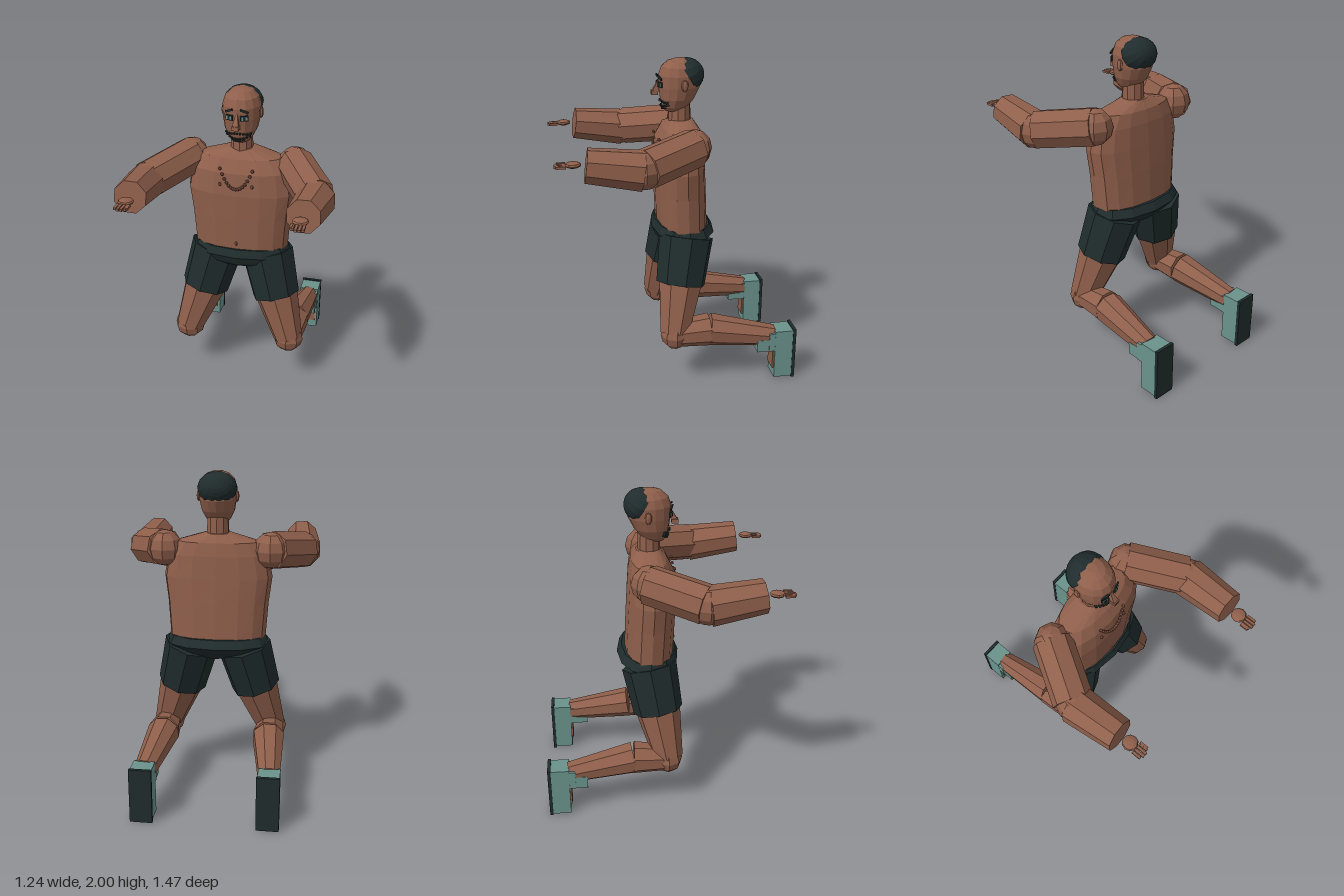
import * as THREE from 'three';

const mat = (name, color) => {
  const m = new THREE.MeshStandardMaterial({ color, flatShading: true, side: THREE.DoubleSide });
  m.name = name;
  return m;
};

export function createModel() {
  const skin = mat('skin', 0x8f5f4b);
  const dark = mat('dark cloth and hair', 0x202c2d);
  const teal = mat('teal', 0x6b938c);
  const root = new THREE.Group();
  root.name = 'kneelingFigure';

  const add = (name, geo, material, parent = root, pos = [0, 0, 0]) => {
    const mesh = new THREE.Mesh(geo, material);
    mesh.name = name;
    mesh.position.set(...pos);
    parent.add(mesh);
    return mesh;
  };
  const box = (name, size, pos, material, parent = root) =>
    add(name, new THREE.BoxGeometry(...size), material, parent, pos);
  const ball = (name, radii, pos, material, parent = root, w = 8, h = 6) =>
    add(name, new THREE.SphereGeometry(1, w, h).scale(...radii), material, parent, pos);

  // Stacked horizontal rings: [y, half width, front z, back z], bottom to top
  const loft = (rows, sides, power = 1) => {
    const pos = [], idx = [];
    const curve = (v) => Math.sign(v) * Math.abs(v) ** power;
    rows.forEach(([y, hx, zf, zb]) => {
      for (let i = 0; i < sides; i++) {
        const a = (i / sides) * Math.PI * 2;
        pos.push(hx * curve(Math.sin(a)), y, (zf + zb) / 2 + ((zf - zb) / 2) * curve(Math.cos(a)));
      }
    });
    const last = rows.length - 1, low = rows.length * sides;
    for (const r of [rows[0], rows[last]]) pos.push(0, r[0], (r[2] + r[3]) / 2);
    for (let i = 0; i < sides; i++) {
      const n = (i + 1) % sides;
      for (let j = 0; j < last; j++) {
        const a = j * sides + i, b = j * sides + n;
        idx.push(a, b, b + sides, a, b + sides, a + sides);
      }
      idx.push(low, n, i, low + 1, last * sides + i, last * sides + n);
    }
    const g = new THREE.BufferGeometry();
    g.setAttribute('position', new THREE.Float32BufferAttribute(pos, 3));
    g.setIndex(idx);
    g.computeVertexNormals();
    return g;
  };

  // Tapered eight-sided limb between two points
  const limb = (name, from, to, r0, r1, material, parent) => {
    const a = new THREE.Vector3(...from), b = new THREE.Vector3(...to);
    const d = b.clone().sub(a);
    const m = add(name, new THREE.CylinderGeometry(r1, r0, d.length(), 8).rotateY(Math.PI / 8), material, parent);
    m.position.copy(a).add(b).multiplyScalar(0.5);
    m.quaternion.setFromUnitVectors(new THREE.Vector3(0, 1, 0), d.normalize());
    return m;
  };

  // Torso, waist and neck
  add('torso', loft([
    [0.9, 0.28, 0.07, -0.2], [0.98, 0.3, 0.085, -0.22], [1.2, 0.315, 0.095, -0.21],
    [1.36, 0.335, 0.1, -0.2], [1.5, 0.31, 0.085, -0.19], [1.58, 0.25, 0.045, -0.175],
    [1.63, 0.08, 0, -0.14],
  ], 16, 0.85), skin);
  add('waistband', loft([
    [0.86, 0.2, 0.07, -0.2], [0.89, 0.27, 0.1, -0.225], [0.94, 0.325, 0.12, -0.27], [0.99, 0.3, 0.1, -0.24],
  ], 12, 0.9), dark);
  add('neck', new THREE.CylinderGeometry(0.065, 0.07, 0.16, 10), skin, root, [0, 1.67, -0.06]);

  // Head, hair and face
  add('head', loft([
    [1.685, 0.05, 0.03, -0.07], [1.71, 0.075, 0.048, -0.11], [1.76, 0.1, 0.06, -0.15],
    [1.83, 0.113, 0.07, -0.185], [1.9, 0.115, 0.072, -0.19], [1.95, 0.1, 0.055, -0.18],
    [1.985, 0.065, 0.015, -0.14], [1.998, 0.025, -0.03, -0.09],
  ], 14), skin);
  const hair = new THREE.SphereGeometry(1, 14, 7, 0, Math.PI * 2, 0, 1.62);
  hair.rotateX(-Math.PI / 3).scale(0.12, 0.101, 0.108);
  add('hair', hair, dark, root, [0, 1.899, -0.1]);
  const nose = new THREE.CylinderGeometry(0.008, 0.03, 0.085, 4).rotateY(Math.PI / 4).rotateX(-0.35);
  add('nose', nose, skin, root, [0, 1.83, 0.082]);
  box('noseTip', [0.04, 0.025, 0.04], [0, 1.798, 0.095], skin);
  for (const s of [1, -1]) {
    ball('ear', [0.014, 0.035, 0.022], [s * 0.115, 1.85, -0.07], skin);
    const eye = new THREE.Group();
    eye.name = 'eye';
    eye.position.set(s * 0.045, 1.85, 0.068);
    eye.rotation.y = s * 0.35;
    root.add(eye);
    box('eyeRim', [0.046, 0.032, 0.008], [0, 0, 0], dark, eye);
    box('iris', [0.034, 0.02, 0.008], [0, 0, 0.003], teal, eye);
    box('pupil', [0.014, 0.02, 0.008], [0, 0, 0.005], dark, eye);
    const brow = box('brow', [0.05, 0.012, 0.009], [0, 0.042, 0.003], dark, eye);
    brow.rotation.z = -s * 0.4;
  }
  // Beard stubble follows the jaw in curved rows
  [[1.75, 0.07, 0.062], [1.735, 0.075, 0.06], [1.715, 0.068, 0.054], [1.7, 0.045, 0.047]].forEach(([y, w, z], row) => {
    for (let i = 0; i < 9; i++) {
      const t = (i - 4) / 4;
      if (row === 1 && Math.abs(t) < 0.6) continue;
      box('beardHair', [0.011, 0.009, 0.014], [t * w, y + (row === 0 ? -0.012 * t * t : 0.012 * t * t), z - 0.035 * t * t], dark);
    }
  });

  // Beads, nipples and navel
  for (let i = 0; i <= 14; i++) {
    const t = i / 7 - 1;
    ball('bead', [0.011, 0.011, 0.011], [t * 0.1, 1.41 + 0.12 * Math.abs(t) ** 2.2, 0.105 - 0.02 * t * t], skin, root, 6, 4);
  }
  for (const x of [-0.1, 0.1]) ball('nipple', [0.01, 0.013, 0.01], [x, 1.43, 0.093], skin, root, 6, 4);
  ball('navel', [0.009, 0.016, 0.012], [0, 1.03, 0.09], skin, root, 6, 4);

  for (const s of [1, -1]) {
    // Arm reaching forward, with the hand set apart from the wrist
    const arm = new THREE.Group();
    arm.name = s > 0 ? 'leftArm' : 'rightArm';
    root.add(arm);
    ball('shoulder', [0.108, 0.112, 0.105], [s * 0.325, 1.53, -0.085], skin, arm);
    limb('upperArm', [s * 0.325, 1.53, -0.085], [s * 0.505, 1.475, 0.225], 0.118, 0.118, skin, arm);
    ball('elbow', [0.11, 0.115, 0.11], [s * 0.507, 1.472, 0.235], skin, arm);
    limb('forearm', [s * 0.51, 1.468, 0.24], [s * 0.493, 1.51, 0.555], 0.118, 0.1, skin, arm);
    ball('palm', [0.046, 0.018, 0.046], [s * 0.49, 1.517, 0.625], skin, arm, 10, 6);
    [-0.029, -0.01, 0.01, 0.029].forEach((dx, i) => {
      const len = i === 0 || i === 3 ? 0.055 : 0.065;
      box('finger', [0.015, 0.014, len], [s * 0.49 + dx, 1.512, 0.665 + len / 2], skin, arm);
    });
    box('thumb', [0.014, 0.014, 0.05], [s * 0.452, 1.515, 0.69], skin, arm);

    // Kneeling leg
    const leg = new THREE.Group();
    leg.name = s > 0 ? 'leftLeg' : 'rightLeg';
    root.add(leg);
    limb('shortsLeg', [s * 0.165, 0.92, -0.075], [s * 0.24, 0.635, -0.025], 0.172, 0.155, dark, leg);
    limb('thigh', [s * 0.235, 0.66, -0.03], [s * 0.34, 0.34, 0.03], 0.145, 0.095, skin, leg);
    ball('knee', [0.1, 0.095, 0.09], [s * 0.34, 0.335, 0.03], skin, leg);
    limb('upperCalf', [s * 0.34, 0.335, 0.02], [s * 0.338, 0.345, -0.19], 0.085, 0.103, skin, leg);
    limb('calf', [s * 0.338, 0.345, -0.19], [s * 0.372, 0.28, -0.6], 0.103, 0.068, skin, leg);

    // Shoe standing on its toe, sole facing back
    box('shoeUpper', [0.13, 0.325, 0.115], [s * 0.375, 0.172, -0.658], teal, leg);
    box('sole', [0.136, 0.342, 0.02], [s * 0.375, 0.171, -0.725], dark, leg);
    box('shoeCuff', [0.12, 0.08, 0.115], [s * 0.375, 0.24, -0.543], teal, leg);
    box('shoeTongue', [0.128, 0.12, 0.04], [s * 0.375, 0.26, -0.582], teal, leg);
    box('footOpening', [0.095, 0.12, 0.012], [s * 0.378, 0.13, -0.596], skin, leg);
  }
  return root;
}
